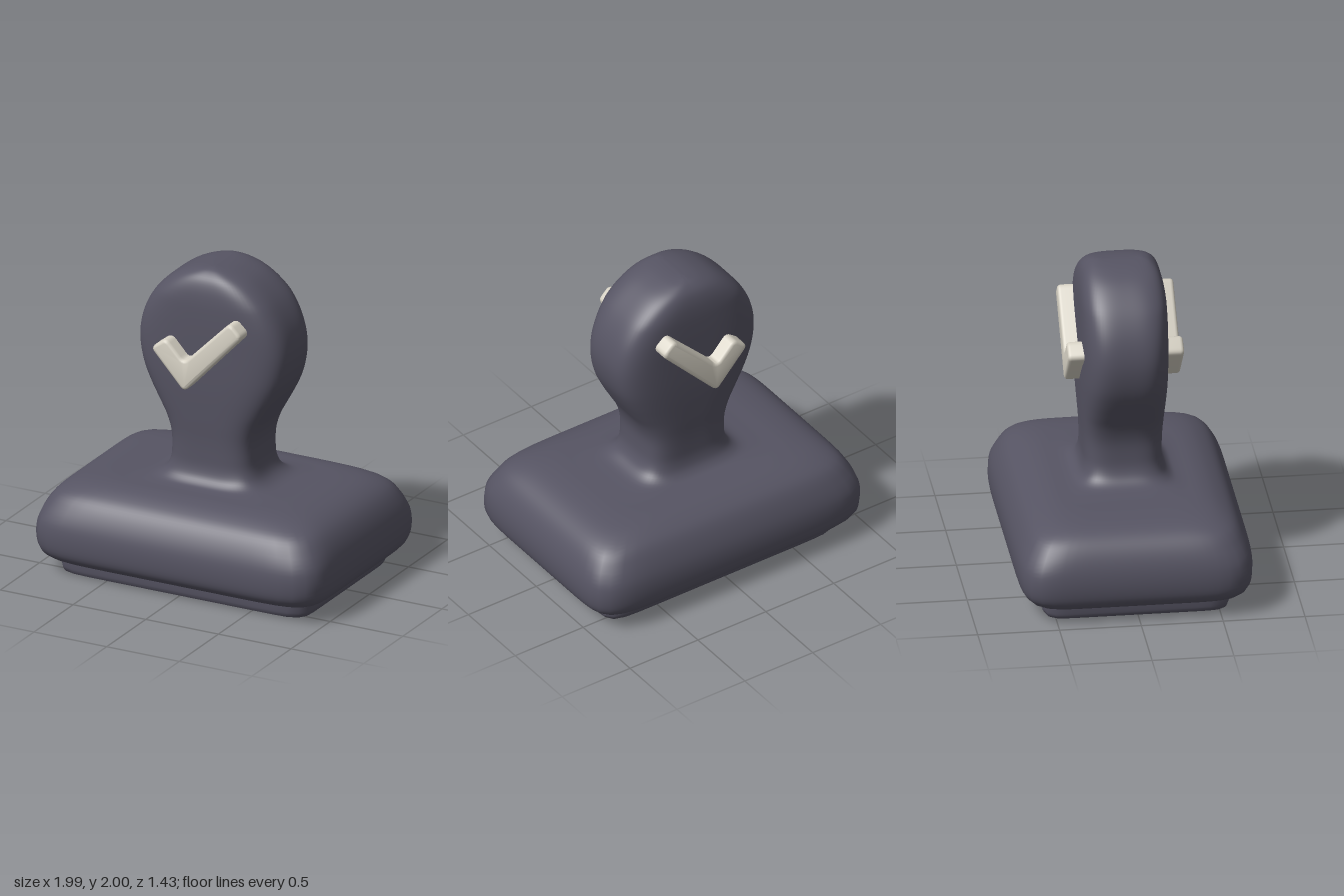
import * as THREE from 'three';
import { toCreasedNormals } from 'three/addons/utils/BufferGeometryUtils.js';

const SEG = 96;

// Closed smooth loft through rounded-rectangle sections [y, halfWidth, halfDepth, squareness]
function loft(sections, rows) {
  const curve = new THREE.CatmullRomCurve3(sections.map(([y, w, d]) => new THREE.Vector3(w, y, d)));
  const pos = [], index = [];
  for (let r = 0; r <= rows; r++) {
    const t = r / rows, f = t * (sections.length - 1);
    const i = Math.min(Math.floor(f), sections.length - 2);
    const n = THREE.MathUtils.lerp(sections[i][3], sections[i + 1][3], f - i);
    const p = curve.getPoint(t);
    for (let s = 0; s < SEG; s++) {
      const a = (s / SEG) * Math.PI * 2, c = Math.cos(a), q = Math.sin(a);
      const k = Math.pow(Math.abs(c) ** n + Math.abs(q) ** n, -1 / n);
      pos.push(Math.max(p.x, 0) * k * c, p.y, Math.max(p.z, 0) * k * q);
      if (r < rows) {
        const a0 = r * SEG + s, a1 = r * SEG + (s + 1) % SEG;
        index.push(a0, a0 + SEG, a1, a1, a0 + SEG, a1 + SEG);
      }
    }
  }
  // Underside cap
  const centre = pos.length / 3;
  pos.push(0, sections[0][0], 0);
  for (let s = 0; s < SEG; s++) index.push(centre, s, (s + 1) % SEG);
  const geo = new THREE.BufferGeometry();
  geo.setAttribute('position', new THREE.Float32BufferAttribute(pos, 3));
  geo.setIndex(index);
  const creased = toCreasedNormals(geo, 1.0);
  return creased;
}

// Polygon with rounded corners
function roundedShape(points, radius) {
  const v = points.map(([x, y]) => new THREE.Vector2(x, y));
  const shape = new THREE.Shape();
  v.forEach((p, i) => {
    const toward = (q) => p.clone().add(q.clone().sub(p).setLength(radius));
    const a = toward(v[(i + v.length - 1) % v.length]);
    const b = toward(v[(i + 1) % v.length]);
    if (i === 0) shape.moveTo(a.x, a.y); else shape.lineTo(a.x, a.y);
    shape.quadraticCurveTo(p.x, p.y, b.x, b.y);
  });
  shape.closePath();
  return shape;
}

export function createModel() {
  const group = new THREE.Group();
  group.name = 'rubberStamp';
  const slate = new THREE.MeshStandardMaterial({ color: 0x565463 });
  slate.name = 'slate';
  const ivory = new THREE.MeshStandardMaterial({ color: 0xd6d1c4 });
  ivory.name = 'ivory';
  const add = (name, geo, mat) => {
    const mesh = new THREE.Mesh(geo, mat);
    mesh.name = name;
    group.add(mesh);
    return mesh;
  };

  // Printing pad under the base
  add('pad', loft([
    [0, 0.84, 0.565, 14], [0.02, 0.85, 0.575, 14], [0.05, 0.855, 0.58, 14], [0.12, 0.86, 0.585, 14],
  ], 12), slate);

  // Cushioned base flowing into the neck and the round grip
  add('body', loft([
    [0.075, 0.84, 0.565, 10], [0.085, 0.89, 0.615, 9], [0.11, 0.94, 0.665, 9], [0.16, 0.978, 0.703, 9],
    [0.25, 0.993, 0.717, 9], [0.35, 0.983, 0.708, 9], [0.45, 0.945, 0.67, 8], [0.52, 0.89, 0.62, 8],
    [0.57, 0.8, 0.54, 7], [0.597, 0.66, 0.45, 6], [0.607, 0.48, 0.34, 5], [0.622, 0.375, 0.292, 4],
    [0.66, 0.32, 0.258, 4], [0.72, 0.292, 0.242, 4], [0.8, 0.284, 0.24, 4], [0.9, 0.289, 0.243, 4],
    [1.0, 0.32, 0.25, 4], [1.1, 0.375, 0.256, 4], [1.2, 0.43, 0.261, 4], [1.3, 0.475, 0.264, 4],
    [1.4, 0.5, 0.265, 4], [1.5, 0.507, 0.265, 4], [1.6, 0.492, 0.265, 4], [1.7, 0.455, 0.264, 4],
    [1.8, 0.393, 0.26, 4], [1.88, 0.315, 0.248, 3.6], [1.94, 0.23, 0.225, 3.2], [1.98, 0.13, 0.185, 3],
    [1.995, 0.06, 0.15, 2.6], [2.0, 0, 0.12, 2.4],
  ], 116), slate);

  // Raised check mark, standing out on both faces of the grip
  const bevel = 0.022;
  const mark = new THREE.ExtrudeGeometry(roundedShape([
    [-0.32, 1.485], [-0.215, 1.565], [-0.09, 1.43], [0.225, 1.745], [0.31, 1.66], [-0.09, 1.235],
  ], 0.04), {
    depth: 0.71 - 2 * bevel, bevelEnabled: true, bevelThickness: bevel, bevelSize: bevel,
    bevelOffset: -bevel, bevelSegments: 3, curveSegments: 6,
  });
  mark.translate(0, 0, -0.355 + bevel);
  add('checkMark', toCreasedNormals(mark, 0.7), ivory);

  return group;
}
